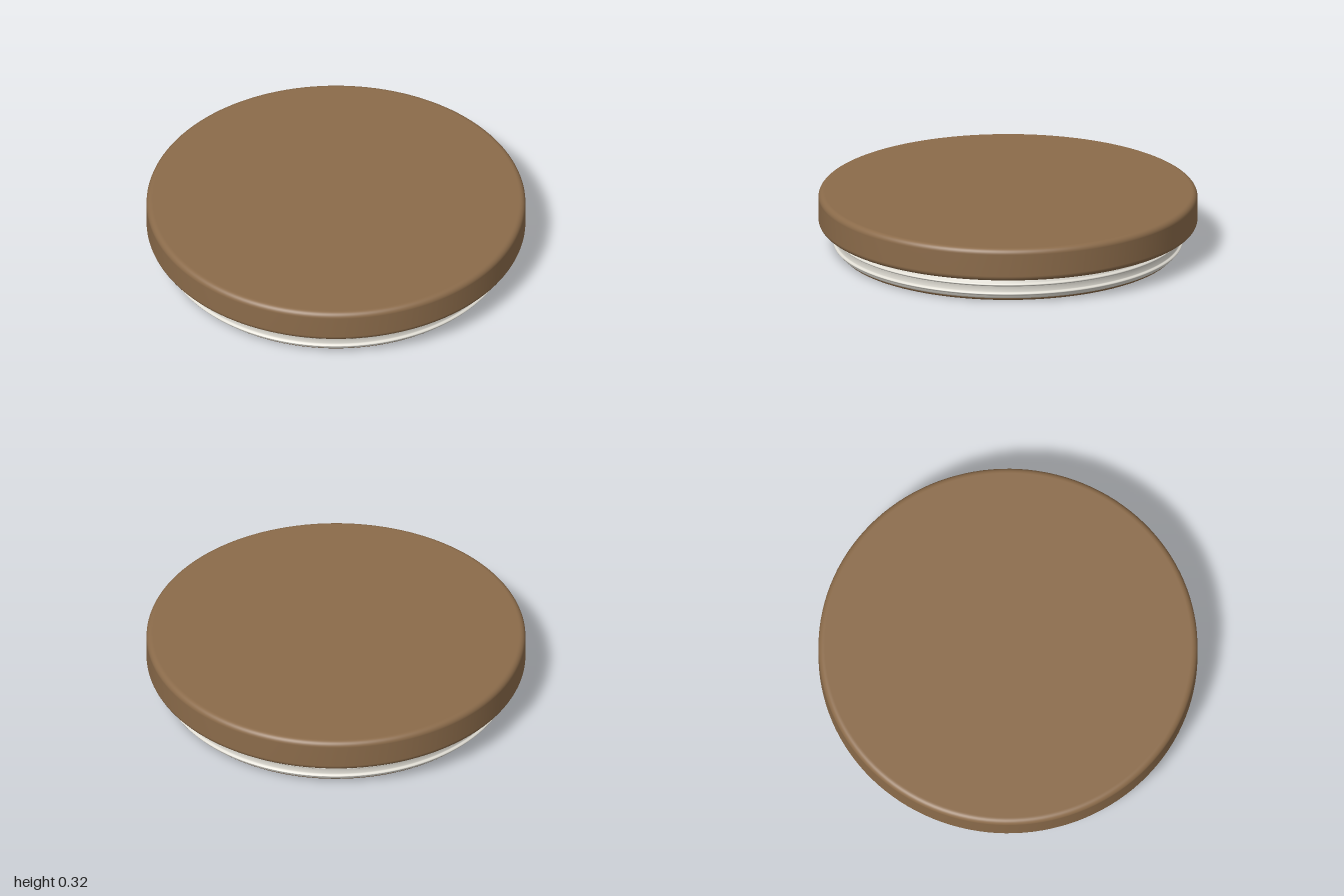
import * as THREE from 'three';

const SEGMENTS = 128;

// Lathe from [radius, height] pairs listed bottom to top
function lathe(name, pairs, material) {
  const points = pairs.map(([r, y]) => new THREE.Vector2(r, y));
  const mesh = new THREE.Mesh(new THREE.LatheGeometry(points, SEGMENTS), material);
  mesh.name = name;
  return mesh;
}

// Profile of a solid disc with rounded rims; extra points keep the flats flat
function discProfile(radius, y0, y1, fillet, steps = 8) {
  const pairs = [[0, y0], [radius - fillet - 0.004, y0]];
  const corner = (cy, start) => {
    for (let i = 0; i <= steps; i++) {
      const a = start + (i / steps) * Math.PI / 2;
      pairs.push([radius - fillet + Math.cos(a) * fillet, cy + Math.sin(a) * fillet]);
    }
  };
  corner(y0 + fillet, -Math.PI / 2);
  corner(y1 - fillet, 0);
  pairs.push([radius - fillet - 0.004, y1], [0, y1]);
  return pairs;
}

// Profile of the seal: a rounded band with two bulging ridges
function sealProfile() {
  const body = 0.908, pairs = [[0.87, 0.012], [0.888, 0.013], [0.9, 0.018], [body, 0.026]];
  for (const y of [0.045, 0.096]) {
    for (let i = 0; i <= 8; i++) {
      const t = i / 8;
      pairs.push([body + 0.015 * Math.sin(t * Math.PI), y - 0.011 + 0.022 * t]);
    }
  }
  pairs.push([body, 0.118], [0.9, 0.126], [0.888, 0.13], [0.87, 0.131]);
  return pairs;
}

export function createModel() {
  const wood = new THREE.MeshStandardMaterial({ color: 0x8b6b4a });
  wood.name = 'wood';
  const silicone = new THREE.MeshStandardMaterial({ color: 0xe0ddd4 });
  silicone.name = 'pale silicone';

  const lid = new THREE.Group();
  lid.name = 'lid';
  lid.add(
    lathe('lidTop', discProfile(1, 0.14, 0.318, 0.03), wood),
    lathe('plug', discProfile(0.893, 0.003 - 0.003, 0.145, 0.02), wood),
    lathe('sealRing', sealProfile(), silicone),
  );
  return lid;
}
